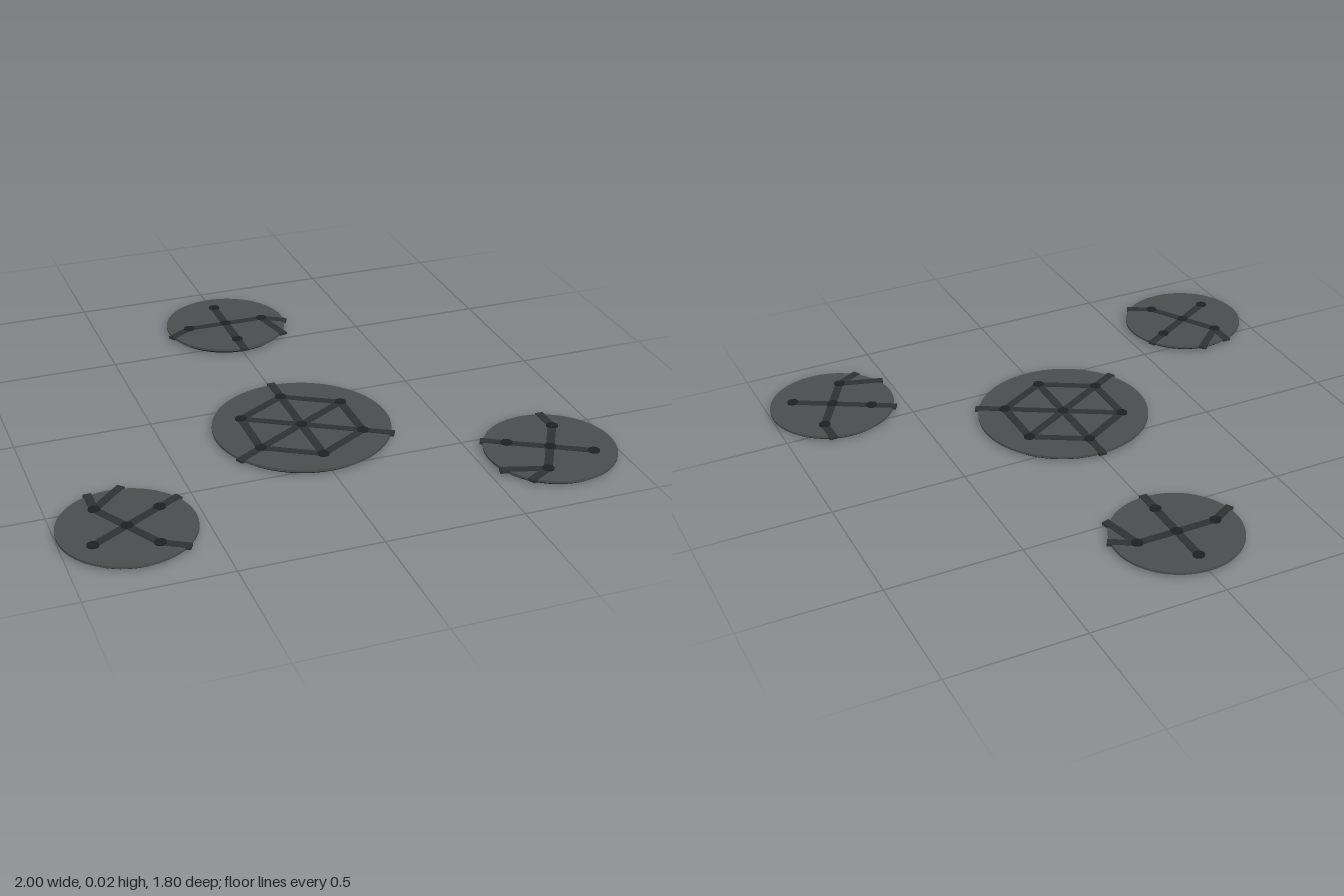
import * as THREE from 'three';

const mat = (color) => new THREE.MeshStandardMaterial({ color });
const plateMat = mat(0x4b4c4e), stripMat = mat(0x2f3032), nodeMat = mat(0x1e1f21), baseMat = mat(0x131416);

const TOP = 0.0205;        // upper face of the plates
const STRIP_W = 0.03;

function add(parent, name, geometry, material, x, y, z) {
  const mesh = new THREE.Mesh(geometry, material);
  mesh.name = name;
  mesh.position.set(x, y, z);
  parent.add(mesh);
  return mesh;
}

// Flat strip between two [x, z] points
function strip(parent, name, a, b, bottom = TOP - 0.002) {
  const dx = b[0] - a[0], dz = b[1] - a[1], top = TOP + 0.002;
  const geo = new THREE.BoxGeometry(STRIP_W, top - bottom, Math.hypot(dx, dz));
  const mesh = add(parent, name, geo, stripMat, (a[0] + b[0]) / 2, (top + bottom) / 2, (a[1] + b[1]) / 2);
  mesh.rotation.y = Math.atan2(dx, dz);
}

// Round platform with a narrower base, spokes to its nodes, a ring and outer connectors
function platform(name, radius, baseRadius, nodes, ring, connectors) {
  const g = new THREE.Group();
  g.name = name;
  add(g, 'base', new THREE.CylinderGeometry(baseRadius, baseRadius, 0.013, 64), baseMat, 0, 0.0065, 0);
  add(g, 'plate', new THREE.CylinderGeometry(radius, radius, TOP - 0.012, 64), plateMat, 0, (TOP + 0.012) / 2, 0);
  const nodeGeo = new THREE.CylinderGeometry(0.021, 0.021, 0.006, 20);
  [[0, 0], ...nodes].forEach(([x, z]) => add(g, 'node', nodeGeo, nodeMat, x, TOP + 0.001, z));
  nodes.forEach((n, i) => {
    strip(g, 'spoke', [0, 0], n);
    if (ring) strip(g, 'ringStrip', n, nodes[(i + 1) % nodes.length]);
  });
  connectors.forEach(([i, end]) => strip(g, 'connector', nodes[i], end, 0.013));
  return g;
}

const polar = (r, i, n) => [r * Math.sin((i * 2 * Math.PI) / n), r * Math.cos((i * 2 * Math.PI) / n)];

export function createModel() {
  const model = new THREE.Group();
  model.name = 'platformCluster';
  const cluster = new THREE.Group();
  cluster.name = 'platforms';
  cluster.position.z = 0.22;
  model.add(cluster);

  // Central platform with a hexagonal walkway
  const hex = [0, 1, 2, 3, 4, 5].map((i) => polar(0.222, i, 6));
  cluster.add(platform('centralPlatform', 0.322, 0.306, hex, true,
    [1, 3, 5].map((i) => [i, polar(0.335, i, 6)])));

  // Three outer platforms arranged around the centre
  const cross = [0, 1, 2, 3].map((i) => polar(0.152, i, 4));
  for (let i = 0; i < 3; i++) {
    const arm = new THREE.Group();
    arm.name = 'outerArm';
    arm.rotation.y = (i * 2 * Math.PI) / 3;
    const outer = platform('outerPlatform', 0.235, 0.219, cross, false, [
      [0, [0, 0.246]],
      [1, [0.24, 0.052]],
      [3, [-0.24, 0.052]],
      [1, [0.19, 0.163]],
    ]);
    outer.position.z = -0.884;
    arm.add(outer);
    cluster.add(arm);
  }
  return model;
}
